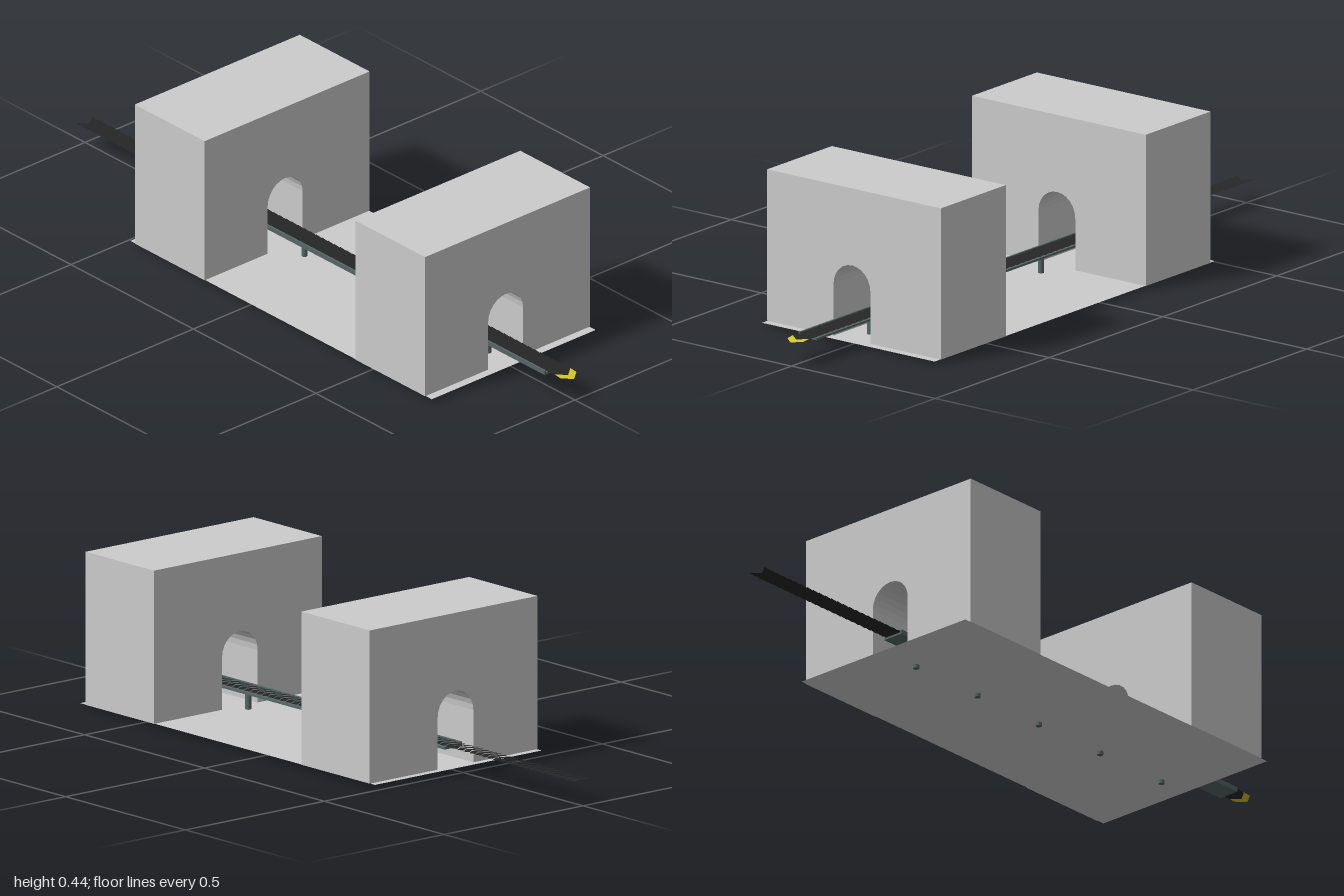
import * as THREE from 'three';

const mat = (color, extra = {}) => new THREE.MeshStandardMaterial({ color, ...extra });

export function createModel() {
  const model = new THREE.Group();
  const grey = mat(0xcccccc);
  const sheetGrey = mat(0xcccccc, { side: THREE.DoubleSide });
  const steel = mat(0x566866);
  const rubber = mat(0x262626, { side: THREE.DoubleSide });
  const yellow = mat(0xd8c820, { side: THREE.DoubleSide });

  const add = (name, geometry, material, x = 0, y = 0, z = 0) => {
    const mesh = new THREE.Mesh(geometry, material);
    mesh.name = name;
    mesh.position.set(x, y, z);
    model.add(mesh);
    return mesh;
  };

  // Ground sheet
  add('groundSheet', new THREE.PlaneGeometry(1.23, 0.6).rotateX(-Math.PI / 2), sheetGrey, 0.135, 0.01, 0);

  // Tunnel blocks: an arched outline extruded along x
  const base = 0.01, top = 0.44, r = 0.064, spring = 0.157, mid = -0.007;
  const outline = new THREE.Shape();
  outline.moveTo(-0.302, base);
  outline.lineTo(mid - r, base);
  outline.lineTo(mid - r, spring);
  outline.absarc(mid, spring, r, Math.PI, 0, true);
  outline.lineTo(mid + r, base);
  outline.lineTo(0.302, base);
  outline.lineTo(0.302, top);
  outline.lineTo(-0.302, top);
  const blockGeo = new THREE.ExtrudeGeometry(outline, { depth: 0.285, bevelEnabled: false, curveSegments: 6 });
  blockGeo.rotateY(Math.PI / 2);
  add('leftTunnelBlock', blockGeo, grey, 0.44);
  add('rightTunnelBlock', blockGeo, grey, -0.46);

  // Conveyor bed with its raised side rail
  const start = -0.45, end = 0.92, length = end - start, centre = (start + end) / 2;
  add('conveyorBed', new THREE.BoxGeometry(length, 0.006, 0.063), steel, centre, 0.062, 0.0075);
  add('sideRail', new THREE.BoxGeometry(length, 0.013, 0.005), steel, centre, 0.0655, 0.0365);

  // Support posts
  const postGeo = new THREE.CylinderGeometry(0.0085, 0.0085, 0.06, 16);
  for (let i = 0; i < 5; i++) add('supportPost', postGeo, steel, -0.35 + i * 0.25, 0.03, 0.003);

  // Belt: a row of thin arrow plates, each sloping gently down towards +x
  const pitch = 0.0245, count = 80, depth = 0.022, half = 0.0285;
  const arrow = new THREE.Shape();
  arrow.moveTo(0, -half);
  arrow.lineTo(pitch, -half);
  arrow.lineTo(pitch + depth, 0);
  arrow.lineTo(pitch, half);
  arrow.lineTo(0, half);
  arrow.lineTo(depth, 0);
  const arrowGeo = new THREE.ShapeGeometry(arrow).rotateX(-Math.PI / 2);
  const p = arrowGeo.attributes.position;
  for (let i = 0; i < p.count; i++) p.setY(i, 0.0715 - (p.getX(i) / (pitch + depth)) * 0.005);
  arrowGeo.computeVertexNormals();
  const first = -1, step = (2 - pitch - depth) / (count - 1);
  for (let i = 0; i < count; i++) {
    const last = i === count - 1;
    add(last ? 'beltEndArrow' : 'beltArrow', arrowGeo, last ? yellow : rubber, first + i * step, 0, 0.003);
  }

  return model;
}
